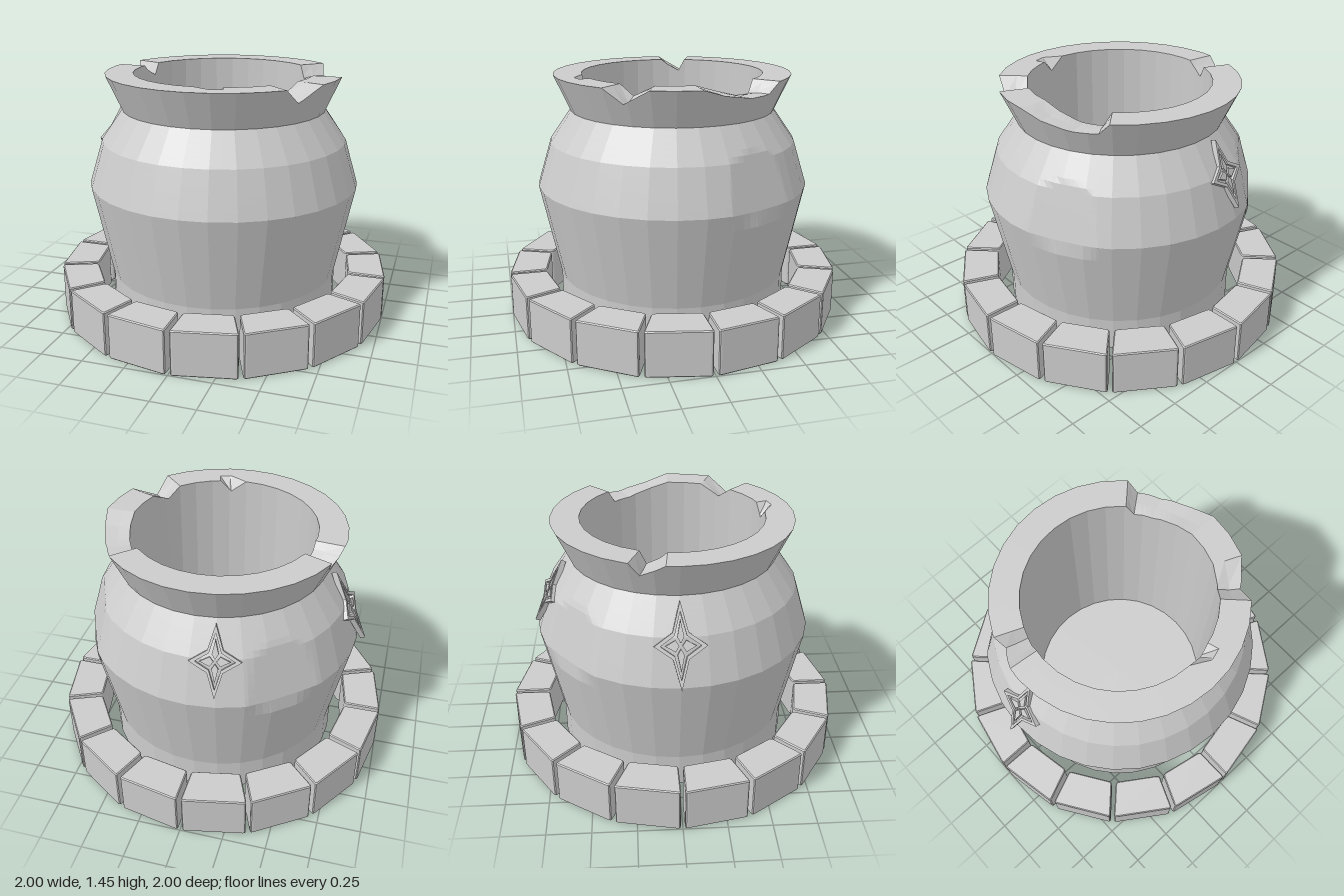
import * as THREE from 'three';

const RAD = Math.PI / 180;
const SIDES = 32;
const material = new THREE.MeshStandardMaterial({ color: 0xcccccc, flatShading: true });

// Chips in the rim: [angle in degrees, drop of outer edge, drop of inner edge]
const chips = [
  [-44, 0, 0], [-39, 0.065, 0.075], [-27, 0.07, 0.07], [-11, 0.04, 0.03], [0, 0, 0],
  [23, 0, 0], [36, 0.085, 0.06], [45, 0, 0],
  [73, 0, 0], [80, 0, 0.07], [90, 0, 0],
  [186, 0, 0], [190, 0.03, 0.03], [198, 0.08, 0.07], [202, 0, 0], [316, 0, 0],
];

function chipDrop(deg, column) {
  for (let i = 0; i < chips.length - 1; i++) {
    const a = chips[i], b = chips[i + 1];
    if (deg >= a[0] && deg <= b[0]) {
      return THREE.MathUtils.lerp(a[column], b[column], (deg - a[0]) / (b[0] - a[0]));
    }
  }
  return 0;
}

// Flat dents knocked into the belly
const dents = [-25, 231].map((deg) => {
  const tilt = 15 * RAD;
  const normal = new THREE.Vector3(
    Math.cos(deg * RAD) * Math.cos(tilt), Math.sin(tilt), Math.sin(deg * RAD) * Math.cos(tilt));
  return { deg, normal, distance: 0.955 };
});

// Profile as [radius, height, kind], from the underside up and down into the hollow
function potProfile() {
  const corners = [[0.69, 0.25], [0.805, 0.8], [0.725, 1.06], [0.6, 1.24]];
  const belly = [];
  for (let i = 0; i < 3; i++) {
    const steps = 6;
    for (let k = 0; k < steps; k++) {
      const t = k / steps;
      belly.push([
        THREE.MathUtils.lerp(corners[i][0], corners[i + 1][0], t),
        THREE.MathUtils.lerp(corners[i][1], corners[i + 1][1], t), 'belly']);
    }
  }
  return [
    [0, 0.06], [0.69, 0.06], ...belly, [0.6, 1.24],
    [0.695, 1.45, 'outer'], [0.595, 1.45, 'middle'], [0.53, 1.45, 'inner'],
    [0.53, 0.15], [0, 0.15],
  ];
}

function potGeometry() {
  // Regular facets plus the extra angles needed by chips and dents
  const angles = new Set();
  for (let i = 0; i <= SIDES; i++) angles.add(-45 + (i * 360) / SIDES);
  chips.forEach((c) => { if (c[0] > -45 && c[0] < 315) angles.add(c[0]); });
  dents.forEach((d) => { for (let k = -18; k <= 18; k += 3) angles.add(d.deg + k); });
  const columns = [...angles].sort((a, b) => a - b);
  const profile = potProfile();
  const positions = [], index = [];
  const p = new THREE.Vector3();

  for (const [radius, height, kind] of profile) {
    for (const deg of columns) {
      let r = radius, y = height;
      if (kind === 'outer') {
        const drop = chipDrop(deg, 1);
        y -= drop;
        r -= (drop * 0.095) / 0.21;
      } else if (kind === 'inner') {
        y -= chipDrop(deg, 2);
      } else if (kind === 'middle') {
        y -= chipDrop(deg, 1);
      }
      // keep added points on the straight side of each facet
      const step = 360 / SIDES;
      const local = (deg + 45) % step - step / 2;
      r *= Math.cos((step / 2) * RAD) / Math.cos(local * RAD);
      p.set(r * Math.cos(deg * RAD), y, r * Math.sin(deg * RAD));
      if (kind === 'belly') {
        for (const { normal, distance } of dents) {
          const excess = p.dot(normal) - distance;
          if (excess > 0) p.addScaledVector(normal, -excess);
        }
      }
      positions.push(p.x, p.y, p.z);
    }
  }
  const n = columns.length;
  for (let i = 0; i < profile.length - 1; i++) {
    for (let j = 0; j < n - 1; j++) {
      const a = i * n + j, b = a + n;
      index.push(a, b, b + 1, a, b + 1, a + 1);
    }
  }
  const indexed = new THREE.BufferGeometry();
  indexed.setAttribute('position', new THREE.Float32BufferAttribute(positions, 3));
  indexed.setIndex(index);
  const geometry = indexed.toNonIndexed();
  geometry.computeVertexNormals();
  return geometry;
}

// Wedge block with rounded upright corners
function stoneGeometry() {
  const corners = [[0.77, -0.14], [0.986, -0.184], [0.986, 0.184], [0.77, 0.14]]
    .map(([x, y]) => new THREE.Vector2(x, y));
  const shape = new THREE.Shape();
  corners.forEach((c, i) => {
    const toward = (other) => other.clone().sub(c).setLength(0.018).add(c);
    const start = toward(corners[(i + 3) % 4]);
    const end = toward(corners[(i + 1) % 4]);
    if (i === 0) shape.moveTo(start.x, start.y);
    else shape.lineTo(start.x, start.y);
    shape.quadraticCurveTo(c.x, c.y, end.x, end.y);
  });
  shape.closePath();
  const bevel = 0.006;
  const geometry = new THREE.ExtrudeGeometry(shape, {
    depth: 0.265 - 2 * bevel, bevelThickness: bevel, bevelSize: bevel,
    bevelOffset: -bevel, bevelSegments: 1, curveSegments: 3,
  });
  geometry.translate(0, 0, bevel);
  geometry.rotateX(-Math.PI / 2);
  return geometry;
}

// Four-pointed star outline with concave sides
function starPoints(w, h) {
  const q = 0.3;
  return [[0, h], [w * q, h * q], [w, 0], [w * q, -h * q],
    [0, -h], [-w * q, -h * q], [-w, 0], [-w * q, h * q]].map(([x, y]) => new THREE.Vector2(x, y));
}

function createStar(name, deg, radius, y, halfHeight) {
  const star = new THREE.Group();
  star.name = name;
  const w = 0.14, h = halfHeight;
  const options = { depth: 0.03, bevelEnabled: false };
  const add = (shape, part) => {
    const geometry = new THREE.ExtrudeGeometry(shape, options);
    geometry.translate(0, 0, -0.015);
    const mesh = new THREE.Mesh(geometry, material);
    mesh.name = part;
    star.add(mesh);
  };
  const frame = new THREE.Shape(starPoints(w, h));
  frame.holes.push(new THREE.Path(starPoints(w * 0.76, h * 0.76).reverse()));
  add(frame, 'starFrame');
  // four kite tiles around the centre
  for (const [sx, sy] of [[0, 1], [1, 0], [0, -1], [-1, 0]]) {
    const kite = [[0.06, 0], [0.2, 0.13], [0.58, 0], [0.2, -0.13]].map(([u, v]) =>
      new THREE.Vector2((sx * u - sy * v) * w, (sy * u + sx * v) * h));
    add(new THREE.Shape(kite), 'starTile');
  }
  const a = deg * RAD;
  star.rotation.order = 'YXZ';
  star.rotation.set(-26 * RAD, Math.atan2(Math.cos(a), Math.sin(a)), 0);
  star.position.set(radius * Math.cos(a), y, radius * Math.sin(a));
  return star;
}

export function createModel() {
  const model = new THREE.Group();
  model.name = 'chippedPot';

  const pot = new THREE.Mesh(potGeometry(), material);
  pot.name = 'pot';
  model.add(pot);

  // Ring of blocks around the foot
  const ring = new THREE.Group();
  ring.name = 'stoneRing';
  const stone = stoneGeometry();
  for (let i = 0; i < 16; i++) {
    const mesh = new THREE.Mesh(stone, material);
    mesh.name = 'stone';
    mesh.rotation.y = ((i + 0.5) * Math.PI) / 8;
    ring.add(mesh);
  }
  model.add(ring);

  model.add(createStar('backStar', 259, 0.722, 1.05, 0.2));
  model.add(createStar('sideStar', 180, 0.738, 1.02, 0.235));
  return model;
}
